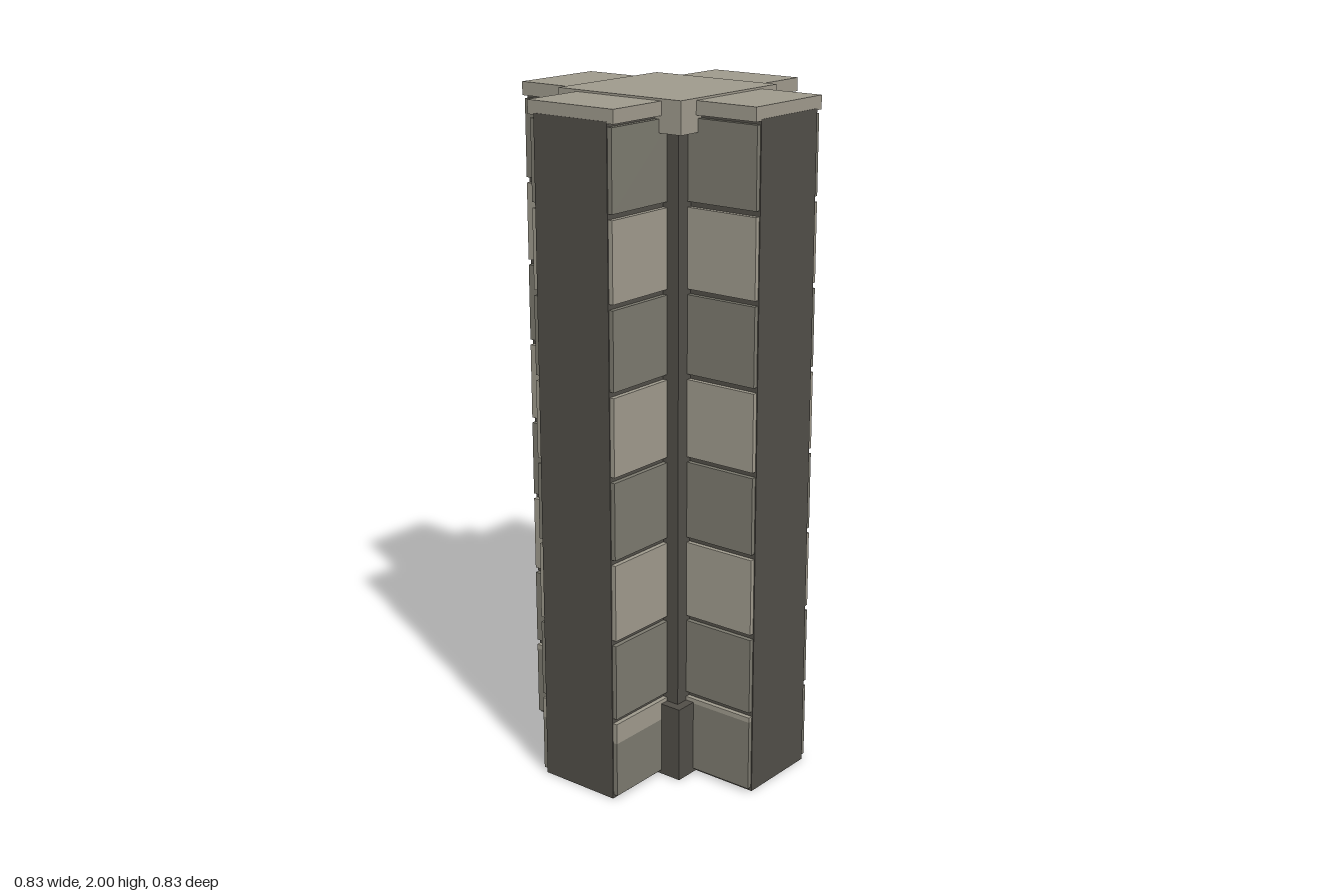
import * as THREE from 'three';

export function createModel() {
  const group = new THREE.Group();
  group.name = 'crossPillar';
  const mat = (name, color) => {
    const m = new THREE.MeshStandardMaterial({ color });
    m.name = name;
    return m;
  };
  const light = mat('lightStone', 0x9e998c);
  const mid = mat('mediumStone', 0x7b796e);
  const dark = mat('darkStone', 0x504d47);

  // Box spanning y0..y1, centred at x, z
  const box = (parent, name, material, w, d, y0, y1, x = 0, z = 0) => {
    const mesh = new THREE.Mesh(new THREE.BoxGeometry(w, y1 - y0, d), material);
    mesh.name = name;
    mesh.position.set(x, (y0 + y1) / 2, z);
    parent.add(mesh);
  };

  // Central column with its foot and capital
  box(group, 'column', dark, 0.364, 0.364, 0.22, 1.92);
  box(group, 'columnFoot', dark, 0.418, 0.418, 0, 0.228);
  box(group, 'columnCap', light, 0.432, 0.432, 1.908, 2);

  // Four arms, each clad on both sides with alternating panels
  const pitch = 0.2437, start = 0.012, gap = 0.016;
  for (let i = 0; i < 4; i++) {
    const arm = new THREE.Group();
    arm.name = 'arm' + (i + 1);
    arm.rotation.y = i * Math.PI / 2;
    group.add(arm);

    box(arm, 'armCore', dark, 0.256, 0.316, 0, 1.96, 0, 0.257);
    box(arm, 'armCap', light, 0.3, 0.235, 1.955, 1.994, 0, 0.2965);

    // Panels on the arms running along z have a taller foot course
    const skirtTop = i % 2 === 0 ? 0.225 : 0.178;
    for (const side of [-1, 1]) {
      const panel = (name, material, y0, y1) =>
        box(arm, name, material, 0.02, 0.253, y0, y1, side * 0.132, 0.2855);
      for (let k = 0; k < 8; k++) {
        const y0 = start + k * pitch;
        const y1 = y0 + pitch - gap;
        if (k === 0) {
          panel('footCourse', mid, y0, skirtTop);
          panel('panel', light, skirtTop, y1);
        } else {
          panel('panel', k % 2 ? mid : light, y0, y1);
        }
      }
    }
  }
  return group;
}
